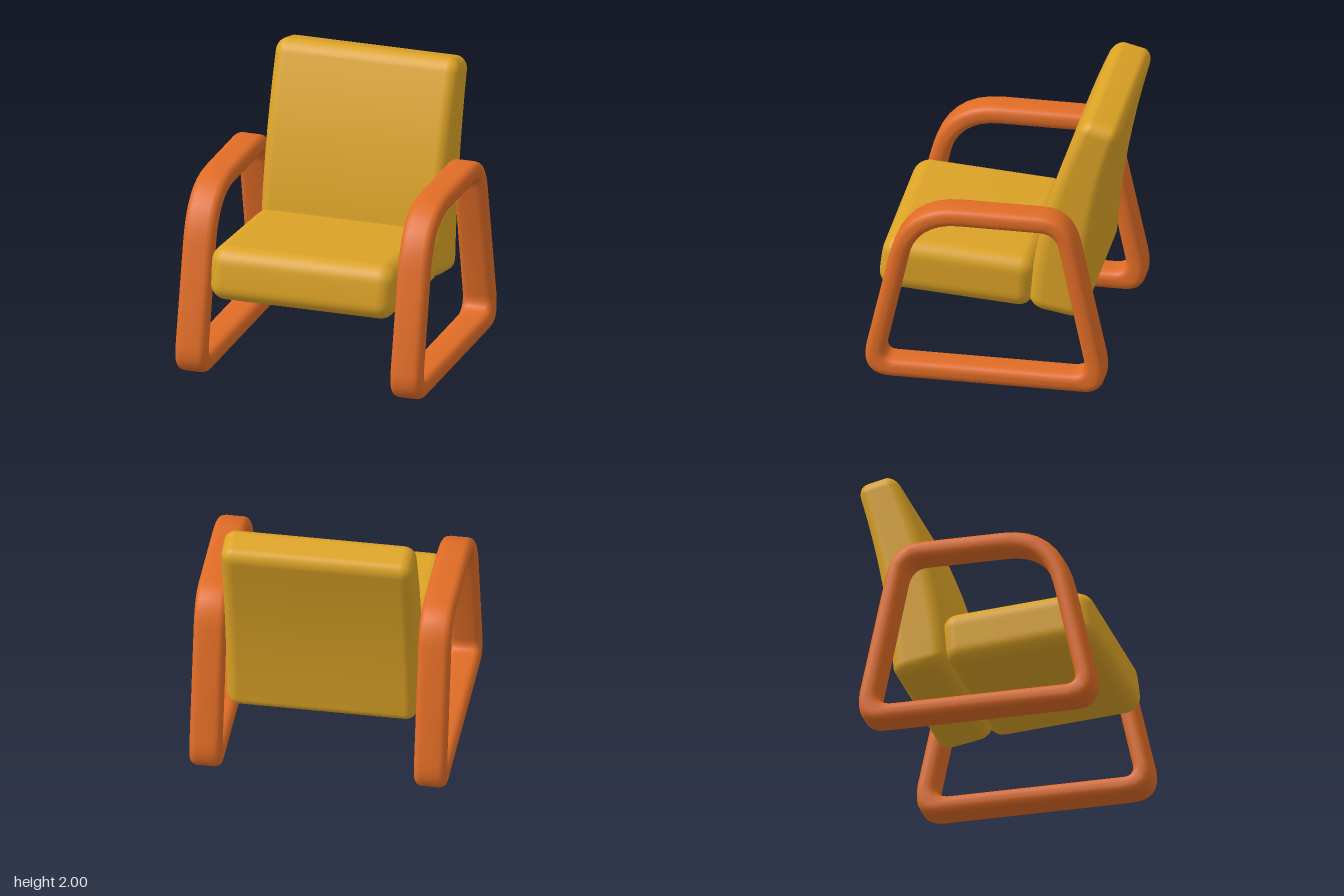
import * as THREE from 'three';
import { mergeVertices, toCreasedNormals } from 'three/addons/utils/BufferGeometryUtils.js';

const ROUND = 4; // steps in each rounded edge
const lerp = THREE.MathUtils.lerp;

// Grid position along one axis: fine steps at both rounded ends, even steps between
function spaced(i, n, half, r) {
  if (i > n / 2) return -spaced(n - i, n, half, r);
  if (i <= ROUND) return -(half - r) - r * Math.tan((Math.PI / 4) * (1 - i / ROUND));
  return lerp(-(half - r), half - r, (i - ROUND) / (n - 2 * ROUND));
}

// Rounded box whose side section is warped to the quad [bottomBack, bottomFront, topBack, topFront] of [z, y],
// with its back and front faces bowed forward
function cushion(width, height, depth, r, quad, bowBack, bowFront) {
  const size = [width, height, depth];
  const n = [2 * ROUND + 2, 2 * ROUND + 8, 2 * ROUND + 2];
  const g = new THREE.BoxGeometry(1, 1, 1, ...n);
  const pos = g.attributes.position;
  const [bb, bf, tb, tf] = quad;
  for (let i = 0; i < pos.count; i++) {
    const p = [0, 1, 2].map(a =>
      spaced(Math.round((pos.getComponent(i, a) + 0.5) * n[a]), n[a], size[a] / 2, r));
    const core = p.map((c, a) => THREE.MathUtils.clamp(c, r - size[a] / 2, size[a] / 2 - r));
    const d = new THREE.Vector3(...p.map((c, a) => c - core[a])).setLength(r);
    const x = core[0] + d.x;
    const v = (core[1] + d.y) / height + 0.5;
    const u = (core[2] + d.z) / depth + 0.5;
    const z = lerp(lerp(bb[0], bf[0], u), lerp(tb[0], tf[0], u), v) + lerp(bowBack, bowFront, u) * 4 * v * (1 - v);
    const y = lerp(lerp(bb[1], bf[1], u), lerp(tb[1], tf[1], u), v);
    pos.setXYZ(i, x, y, z);
  }
  g.deleteAttribute('uv');
  g.deleteAttribute('normal');
  const out = mergeVertices(g, 1e-4);
  out.computeVertexNormals();
  return out;
}

// Closed outline from corners: [start, control, end] of each rounded corner
function outline(path, corners) {
  corners.forEach(([a, c, b], i) => {
    if (i === 0) path.moveTo(...a); else path.lineTo(...a);
    path.quadraticCurveTo(...c, ...b);
  });
  path.closePath();
  return path;
}

// Side loop: drawn in (z, y), extruded across x
function frameGeometry() {
  const shape = outline(new THREE.Shape(), [
    [[0.70, 0], [0.915, 0], [0.88, 0.22]],
    [[0.72, 0.93], [0.63, 1.355], [0.22, 1.355]],
    [[-0.36, 1.355], [-0.57, 1.355], [-0.625, 1.11]],
    [[-0.81, 0.25], [-0.855, 0], [-0.66, 0]],
  ]);
  shape.holes.push(outline(new THREE.Path(), [
    [[0.68, 0.135], [0.765, 0.135], [0.742, 0.23]],
    [[0.59, 0.92], [0.52, 1.22], [0.22, 1.22]],
    [[-0.36, 1.22], [-0.465, 1.22], [-0.49, 1.11]],
    [[-0.67, 0.25], [-0.695, 0.135], [-0.57, 0.135]],
  ]));
  const bevel = 0.052;
  const g = new THREE.ExtrudeGeometry(shape, {
    depth: 0.23 - 2 * bevel, curveSegments: 8,
    bevelEnabled: true, bevelThickness: bevel, bevelSize: bevel, bevelOffset: -bevel, bevelSegments: 4,
  });
  g.translate(0, 0, -(0.23 - 2 * bevel) / 2);
  g.rotateY(-Math.PI / 2);
  return toCreasedNormals(g, 0.7);
}

export function createModel() {
  const fabric = new THREE.MeshStandardMaterial({ color: 0xdca326 });
  fabric.name = 'mustard fabric';
  const wood = new THREE.MeshStandardMaterial({ color: 0xe06c26 });
  wood.name = 'orange wood';
  const model = new THREE.Group();
  model.name = 'armchair';
  const add = (name, geometry, material, x = 0) => {
    const mesh = new THREE.Mesh(geometry, material);
    mesh.name = name;
    mesh.position.x = x;
    model.add(mesh);
  };

  // Cushions
  add('seat', cushion(1.36, 0.39, 1.08, 0.11,
    [[-0.255, 0.495], [0.84, 0.573], [-0.285, 0.885], [0.79, 0.962]], 0, 0.01), fabric);
  add('backrest', cushion(1.36, 1.5, 0.34, 0.09,
    [[-0.63, 0.44], [-0.23, 0.51], [-0.895, 1.95], [-0.625, 2.017]], 0.045, 0.08), fabric);

  // Looped armrest frames
  const frame = frameGeometry();
  add('leftFrame', frame, wood, 0.795);
  add('rightFrame', frame, wood, -0.795);
  return model;
}
